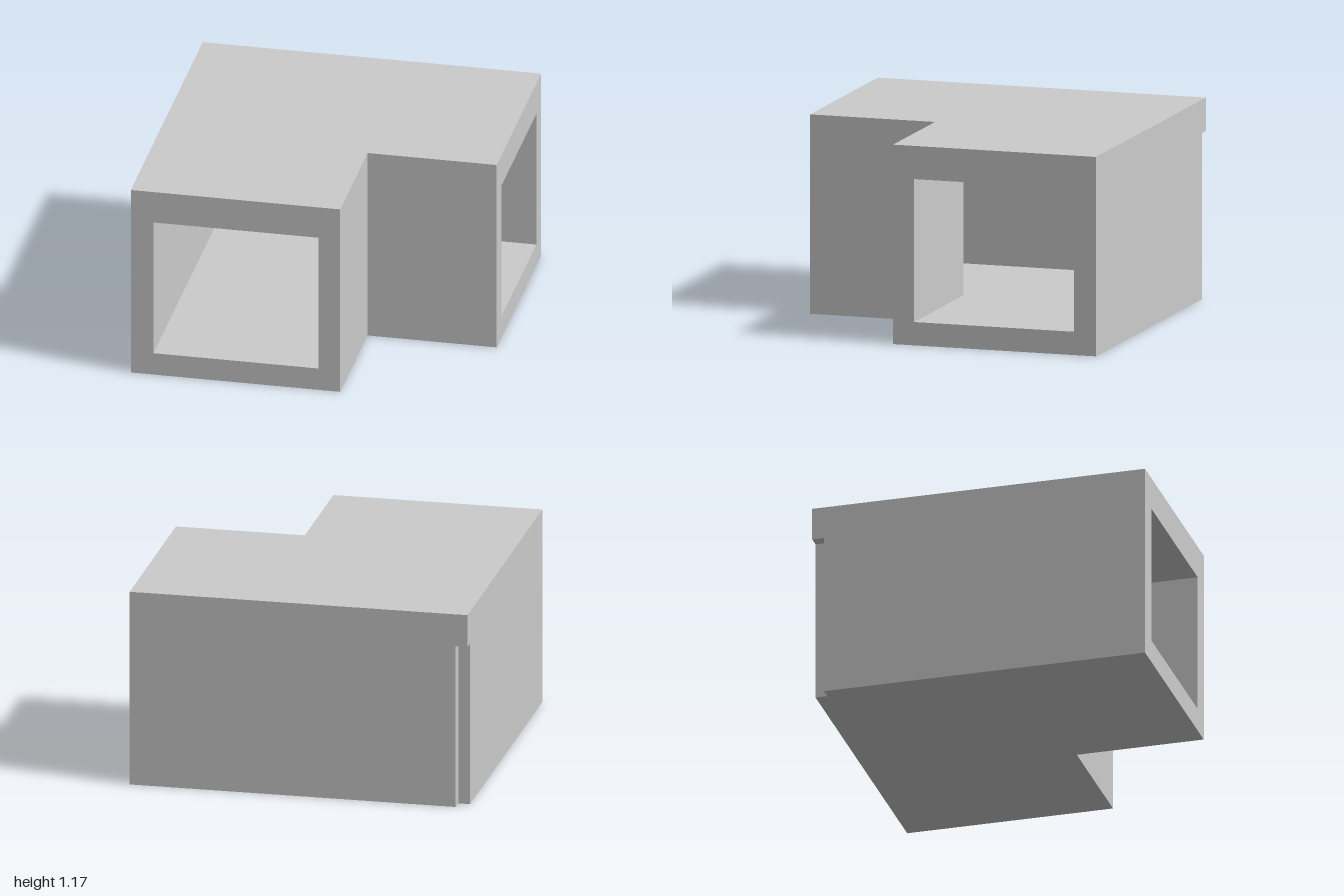
import * as THREE from 'three';

const material = new THREE.MeshStandardMaterial({ color: 0xcccccc, flatShading: true });

// Plan outline from [x, z] points, extruded upwards from y0 to y1
function slab(name, plan, y0, y1) {
  const shape = new THREE.Shape(plan.map(([x, z]) => new THREE.Vector2(x, -z)));
  const geometry = new THREE.ExtrudeGeometry(shape, { depth: y1 - y0, bevelEnabled: false });
  geometry.rotateX(-Math.PI / 2).translate(0, y0, 0);
  const mesh = new THREE.Mesh(geometry, material);
  mesh.name = name;
  return mesh;
}

export function createModel() {
  const group = new THREE.Group();
  group.name = 'cornerPassage';

  const inner = 0.237;     // inside corner of the L
  const cavityOut = -0.866, cavityIn = 0.108;
  const notch = -0.93;     // recess in the outer corner
  const floorTop = 0.137, ceiling = 0.977, top = 1.172;

  const arms = [[-1, 1], [inner, 1], [inner, inner], [1, inner], [1, -1]];
  const recess = [[notch, -1], [notch, notch], [-1, notch]];

  // Floor, with the outer corner recessed
  group.add(slab('floor', [...arms, ...recess], 0, floorTop));

  // Outer wall wraps the back and side, with the same recess
  group.add(slab('outerWall', [
    [-1, 1], [cavityOut, 1], [cavityOut, cavityOut], [1, cavityOut], [1, -1], ...recess,
  ], floorTop, ceiling));

  // Inner wall follows the inside corner
  group.add(slab('innerWall', [
    [cavityIn, 1], [inner, 1], [inner, inner], [1, inner], [1, cavityIn], [cavityIn, cavityIn],
  ], floorTop, ceiling));

  // Roof overhangs the recess
  group.add(slab('roof', [...arms, [-1, -1]], ceiling, top));

  return group;
}
